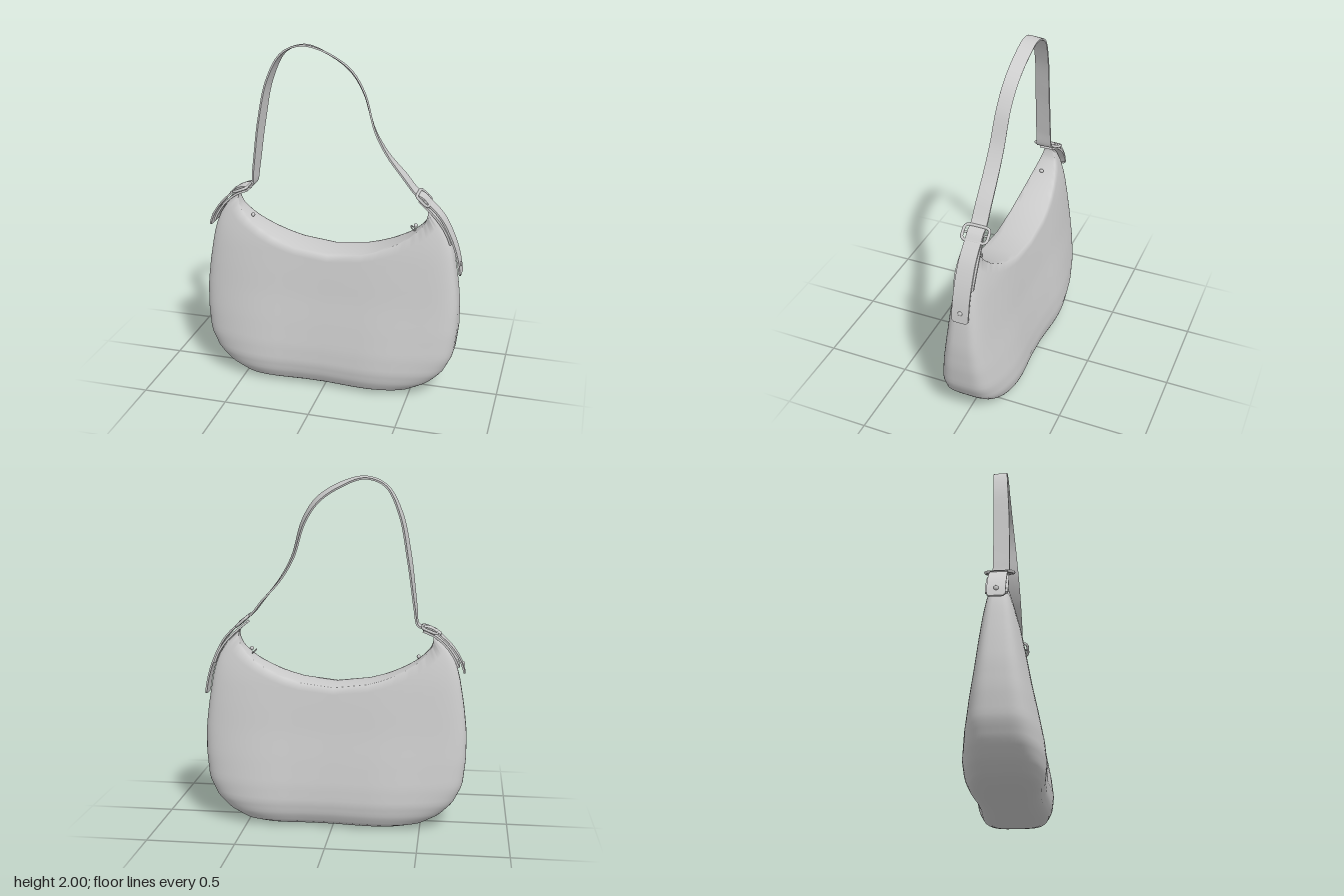
import * as THREE from 'three';
import { toCreasedNormals } from 'three/addons/utils/BufferGeometryUtils.js';

const material = new THREE.MeshStandardMaterial({ color: 0xcccccc, roughness: 0.7, side: THREE.DoubleSide });
const lerp = THREE.MathUtils.lerp;

function meshFrom(name, positions, indices, crease) {
  const geo = new THREE.BufferGeometry();
  geo.setAttribute('position', new THREE.Float32BufferAttribute(positions, 3));
  geo.setIndex(indices);
  const mesh = new THREE.Mesh(toCreasedNormals(geo, crease), material);
  mesh.name = name;
  return mesh;
}

// Bag profile: height, half width, half depth
const PROFILE = [
  [0, 0.32, 0.11], [0.01, 0.45, 0.15], [0.03, 0.53, 0.18], [0.08, 0.62, 0.203], [0.15, 0.69, 0.212],
  [0.25, 0.74, 0.203], [0.4, 0.757, 0.178], [0.55, 0.757, 0.15], [0.7, 0.74, 0.127], [0.85, 0.715, 0.102],
  [0.95, 0.69, 0.078], [1.03, 0.645, 0.055], [1.08, 0.6, 0.042], [1.12, 0.555, 0.032],
];
function profileAt(y) {
  let i = 0;
  while (i < PROFILE.length - 2 && y > PROFILE[i + 1][0]) i++;
  const a = PROFILE[i], b = PROFILE[i + 1];
  const t = THREE.MathUtils.clamp((y - a[0]) / (b[0] - a[0]), 0, 1);
  return [lerp(a[1], b[1], t), lerp(a[2], b[2], t)];
}

// Soft leather body: rings climb to the scooped rim, then a zipped top closes it across z
function makeBody() {
  const levels = 32, sides = 96;
  const rows = [[0, 0, 1]]; // height fraction, overall scale, depth scale
  for (let i = 0; i <= levels; i++) rows.push([(i / levels) ** 1.6, 1, 1]);
  for (const depth of [0.93, 0.7, 0.4, 0]) rows.push([1, 1, depth]);

  const pos = [], idx = [];
  const power = (c) => Math.sign(c) * Math.abs(c) ** (2 / 4.2);
  rows.forEach(([v, scale, depth], r) => {
    for (let j = 0; j < sides; j++) {
      const a = (j / sides) * Math.PI * 2;
      const c = power(Math.cos(a)), s = power(Math.sin(a));
      const y = 0.81 * v + 0.31 * c * c * v * v * scale;
      const [w, d] = profileAt(y);
      const x = c * w * scale;
      // Gentle sagging of the panels, strongest low down
      const sag = 0.011 * Math.sin(9 * x + (s > 0 ? -1 : 4)) * Math.max(0, 1 - y) * Math.abs(s);
      const z = (s * d + Math.sign(s) * sag) * scale * depth - 0.009 * v;
      pos.push(x, y + 0.006 * (1 - depth * depth), z);
      if (r < rows.length - 1) {
        const p = r * sides + j, q = r * sides + (j + 1) % sides;
        if (scale) idx.push(p, p + sides, q);
        idx.push(q, p + sides, q + sides);
      }
    }
  });
  return meshFrom('bagBody', pos, idx, 1.75);
}

// Flat strap along points [x, y, z, halfWidth, tilt]
function makeRibbon(name, points, thickness, steps = 40) {
  const curve = new THREE.CatmullRomCurve3(points.map((p) => new THREE.Vector3(p[0], p[1], p[2])), false, 'centripetal');
  const pos = [], idx = [];
  const corners = [[1, -1], [1, 1], [-1, 1], [-1, -1]];
  for (let i = 0; i <= steps; i++) {
    const t = i / steps, f = t * (points.length - 1);
    const k = Math.min(Math.floor(f), points.length - 2);
    const half = lerp(points[k][3], points[k + 1][3], f - k);
    const tilt = lerp(points[k][4] || 0, points[k + 1][4] || 0, f - k);
    const p = curve.getPoint(t), T = curve.getTangent(t);
    const B = new THREE.Vector3(0, 0, 1).addScaledVector(T, -T.z).normalize().applyAxisAngle(T, tilt);
    const N = B.clone().cross(T);
    for (const [n, b] of corners) {
      const q = p.clone().addScaledVector(N, n * thickness / 2).addScaledVector(B, b * half);
      pos.push(q.x, q.y, q.z);
    }
    if (i < steps) {
      for (let c = 0; c < 4; c++) {
        const a = i * 4 + c, b = i * 4 + (c + 1) % 4;
        idx.push(a, b, a + 4, b, b + 4, a + 4);
      }
    }
  }
  const e = steps * 4;
  idx.push(0, 3, 2, 0, 2, 1, e, e + 1, e + 2, e, e + 2, e + 3);
  return meshFrom(name, pos, idx, 0.7);
}

// Rounded rectangular wire buckle with a cross bar
function makeBuckle(name, x, y, angle) {
  const group = new THREE.Group();
  group.name = name;
  const w = 0.043, h = 0.073, r = 0.024;
  const points = [];
  for (let i = 0; i < 24; i++) {
    const a = ((i % 6) / 5 + Math.floor(i / 6)) * Math.PI / 2;
    const sx = i < 6 || i >= 18 ? 1 : -1, sz = i < 12 ? 1 : -1;
    points.push(new THREE.Vector3(sx * (w - r) + r * Math.cos(a), 0, sz * (h - r) + r * Math.sin(a)));
  }
  const path = new THREE.CatmullRomCurve3(points, true, 'centripetal');
  const frame = new THREE.Mesh(new THREE.TubeGeometry(path, 72, 0.0085, 8, true), material);
  frame.name = 'buckleFrame';
  const bar = new THREE.Mesh(new THREE.CylinderGeometry(0.006, 0.006, 2 * h, 12), material);
  bar.name = 'buckleBar';
  bar.rotation.x = Math.PI / 2;
  bar.position.y = -0.004;
  group.add(frame, bar);
  group.position.set(x, y, -0.012);
  group.rotation.z = angle;
  return group;
}

function makeRivet(name, x, y, z, sx, sy) {
  const rivet = new THREE.Mesh(new THREE.SphereGeometry(0.014, 16, 10), material);
  rivet.name = name;
  rivet.position.set(x, y, z);
  rivet.scale.set(sx, sy, 1);
  return rivet;
}

export function createModel() {
  const model = new THREE.Group();
  model.name = 'shoulderBag';
  model.add(makeBody());

  // Shoulder strap, drooping to one side and twisting back over the crest
  model.add(makeRibbon('shoulderStrap', [
    [-0.6, 1.115, -0.012, 0.046], [-0.54, 1.15, -0.012, 0.046], [-0.485, 1.158, -0.012, 0.046],
    [-0.468, 1.17, -0.012, 0.046], [-0.453, 1.27, -0.012, 0.046, -0.1], [-0.415, 1.55, -0.016, 0.045, -0.18],
    [-0.365, 1.79, -0.026, 0.042, -0.15], [-0.285, 1.94, -0.036, 0.04, -0.05], [-0.17, 1.985, -0.038, 0.039, -0.12],
    [-0.03, 1.945, -0.038, 0.038, -0.32], [0.1, 1.86, -0.034, 0.038, -0.4], [0.18, 1.74, -0.025, 0.038, -0.35],
    [0.245, 1.54, -0.012, 0.04, -0.25], [0.32, 1.41, -0.008, 0.042, -0.15], [0.42, 1.29, -0.01, 0.045],
    [0.49, 1.205, -0.012, 0.046], [0.535, 1.18, -0.012, 0.046], [0.575, 1.135, -0.012, 0.046],
  ], 0.01, 120));

  // Long side tab over a shorter anchor layer
  model.add(makeRibbon('leftTab', [
    [0.53, 1.175, -0.012, 0.047], [0.58, 1.135, -0.012, 0.047], [0.64, 1.07, -0.012, 0.048],
    [0.69, 0.98, -0.012, 0.049], [0.725, 0.89, -0.012, 0.049], [0.745, 0.81, -0.012, 0.049],
    [0.754, 0.755, -0.012, 0.048], [0.756, 0.742, -0.012, 0.036],
  ], 0.01));
  model.add(makeRibbon('leftAnchor', [
    [0.51, 1.165, -0.012, 0.04], [0.57, 1.115, -0.012, 0.05], [0.63, 1.055, -0.012, 0.058],
    [0.673, 0.99, -0.012, 0.06], [0.698, 0.93, -0.012, 0.058],
  ], 0.012));
  model.add(makeRivet('leftTabRivet', 0.752, 0.8, -0.012, 0.6, 1));
  model.add(makeBuckle('leftBuckle', 0.532, 1.174, -0.72));

  // Opposite tab, shorter
  model.add(makeRibbon('rightTab', [
    [-0.5, 1.155, -0.012, 0.047], [-0.56, 1.135, -0.012, 0.047], [-0.62, 1.09, -0.012, 0.048],
    [-0.675, 1.03, -0.012, 0.049], [-0.715, 0.965, -0.012, 0.049], [-0.734, 0.912, -0.012, 0.048],
    [-0.737, 0.9, -0.012, 0.036],
  ], 0.01));
  model.add(makeRibbon('rightAnchor', [
    [-0.5, 1.135, -0.012, 0.04], [-0.57, 1.105, -0.012, 0.05], [-0.635, 1.05, -0.012, 0.058],
    [-0.683, 0.98, -0.012, 0.06], [-0.703, 0.935, -0.012, 0.058],
  ], 0.012));
  model.add(makeRivet('rightTabRivet', -0.729, 0.95, -0.012, 0.6, 1));
  model.add(makeBuckle('rightBuckle', -0.538, 1.142, 0.38));

  // Zip stop and zip pull on the closed top
  model.add(makeRivet('zipStop', -0.475, 0.98, 0.005, 0.8, 0.8));
  const pull = new THREE.Mesh(new THREE.TorusGeometry(0.016, 0.004, 8, 20), material);
  pull.name = 'zipPull';
  pull.position.set(0.475, 0.99, -0.005);
  pull.rotation.set(-Math.PI / 2, 0.75, 0);
  model.add(pull, makeRivet('zipSlider', 0.49, 1.008, -0.005, 0.8, 0.8));

  return model;
}
